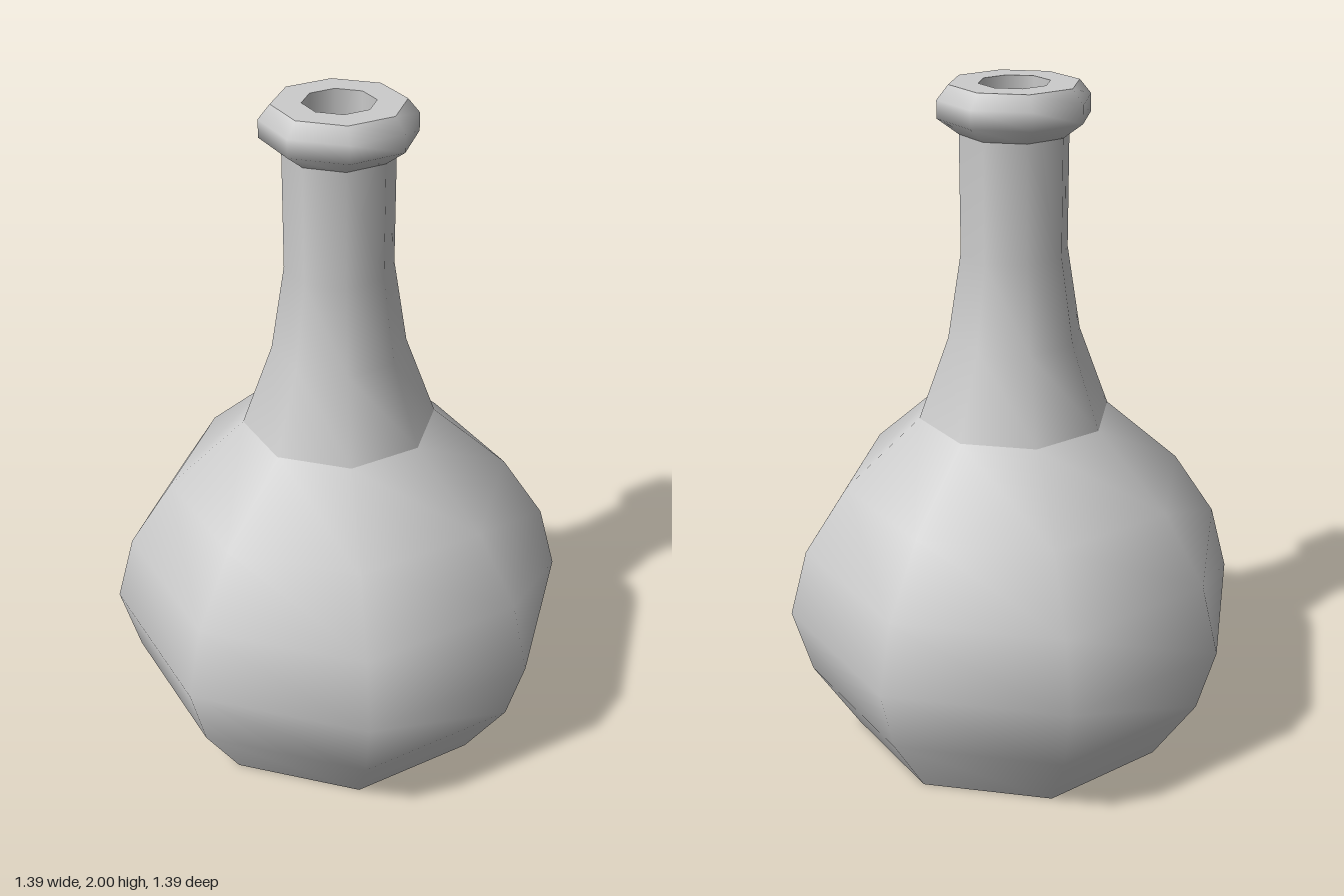
import * as THREE from 'three';

const SIDES = 8;

export function createModel() {
  const group = new THREE.Group();
  group.name = 'flask';
  const material = new THREE.MeshStandardMaterial({ color: 0xcccccc });

  // Eight-sided turned part; separate profiles keep the edges between them sharp
  function turned(name, profile) {
    const points = profile.map(([r, y]) => new THREE.Vector2(r, y));
    const mesh = new THREE.Mesh(new THREE.LatheGeometry(points, SIDES), material);
    mesh.name = name;
    group.add(mesh);
  }

  // Flat underside and round belly
  turned('base', [[0, 0], [0.505, 0]]);
  turned('belly', [
    [0.505, 0], [0.64, 0.22], [0.695, 0.425], [0.64, 0.63], [0.51, 0.83], [0.285, 1.035],
  ]);

  // Neck flaring down to the shoulder
  turned('neck', [[0.285, 1.035], [0.195, 1.28], [0.155, 1.53], [0.155, 1.865]]);

  // Rounded lip with a flat rim
  turned('lip', [[0.155, 1.865], [0.215, 1.91], [0.215, 1.96], [0.182, 2]]);
  turned('rim', [[0.182, 2], [0.1, 2]]);

  // Mouth recess
  turned('mouthWall', [[0.1, 2], [0.1, 1.865]]);
  turned('mouthFloor', [[0.1, 1.865], [0, 1.865]]);

  return group;
}
